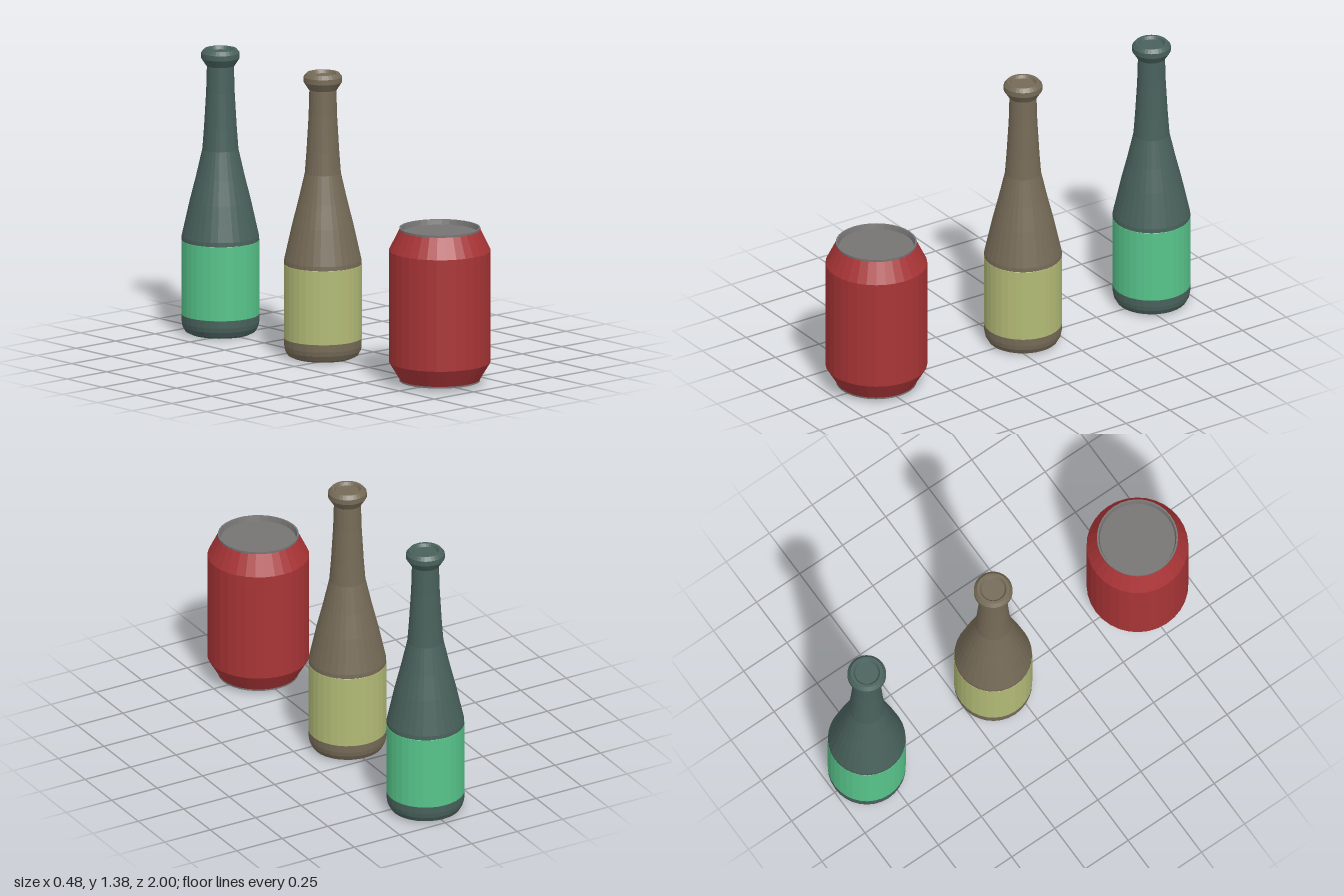
import * as THREE from 'three';

const SIDES = 32;

// Faceted surface of revolution; profile runs from bottom to top as [radius, height]
function turned(name, color, profile) {
  const points = profile.map(([r, y]) => new THREE.Vector2(r, y));
  const material = new THREE.MeshStandardMaterial({ color, flatShading: true, side: THREE.DoubleSide });
  const mesh = new THREE.Mesh(new THREE.LatheGeometry(points, SIDES), material);
  mesh.name = name;
  return mesh;
}

function createBottle(name, glassColor, labelColor) {
  const bottle = new THREE.Group();
  bottle.name = name;
  bottle.add(
    // Dished base and lower wall
    turned('bottleBase', glassColor, [
      [0, 0.03], [0.08, 0.025], [0.125, 0.002], [0.145, 0.003], [0.168, 0.014], [0.181, 0.038], [0.185, 0.06], [0.185, 0.095],
    ]),
    // Label band
    turned('label', labelColor, [[0.185, 0.095], [0.186, 0.096], [0.186, 0.454], [0.185, 0.455]]),
    // Shoulder and long neck
    turned('bottleNeck', glassColor, [
      [0.185, 0.455], [0.184, 0.475], [0.146, 0.645], [0.117, 0.76], [0.086, 0.895], [0.078, 1.0], [0.068, 1.17], [0.064, 1.31],
    ]),
    // Lip with a sunken mouth
    turned('lip', glassColor, [
      [0.063, 1.3], [0.068, 1.3], [0.092, 1.337], [0.092, 1.362], [0.077, 1.38], [0.064, 1.38], [0.055, 1.366], [0, 1.366],
    ]),
  );
  return bottle;
}

function createCan() {
  const can = new THREE.Group();
  can.name = 'can';
  const metal = 0x767373;
  can.add(
    turned('canBody', 0xa83436, [[0.19, 0.026], [0.242, 0.112], [0.242, 0.653], [0.192, 0.754]]),
    // Recessed end panels, each with a thin rim
    turned('canBottom', metal, [[0, 0.045], [0.178, 0.045], [0.184, 0.02], [0.192, 0.02], [0.192, 0.028]]),
    turned('canTop', metal, [[0.193, 0.752], [0.193, 0.762], [0.185, 0.762], [0.179, 0.738], [0, 0.738]]),
  );
  return can;
}

export function createModel() {
  const model = new THREE.Group();
  model.name = 'drinks';
  const can = createCan();
  can.position.z = 0.758;
  const brownBottle = createBottle('brownBottle', 0x756a57, 0xb2ba76);
  brownBottle.position.z = -0.08;
  const greenBottle = createBottle('greenBottle', 0x49615b, 0x57c48a);
  greenBottle.position.z = -0.814;
  model.add(can, brownBottle, greenBottle);
  return model;
}
